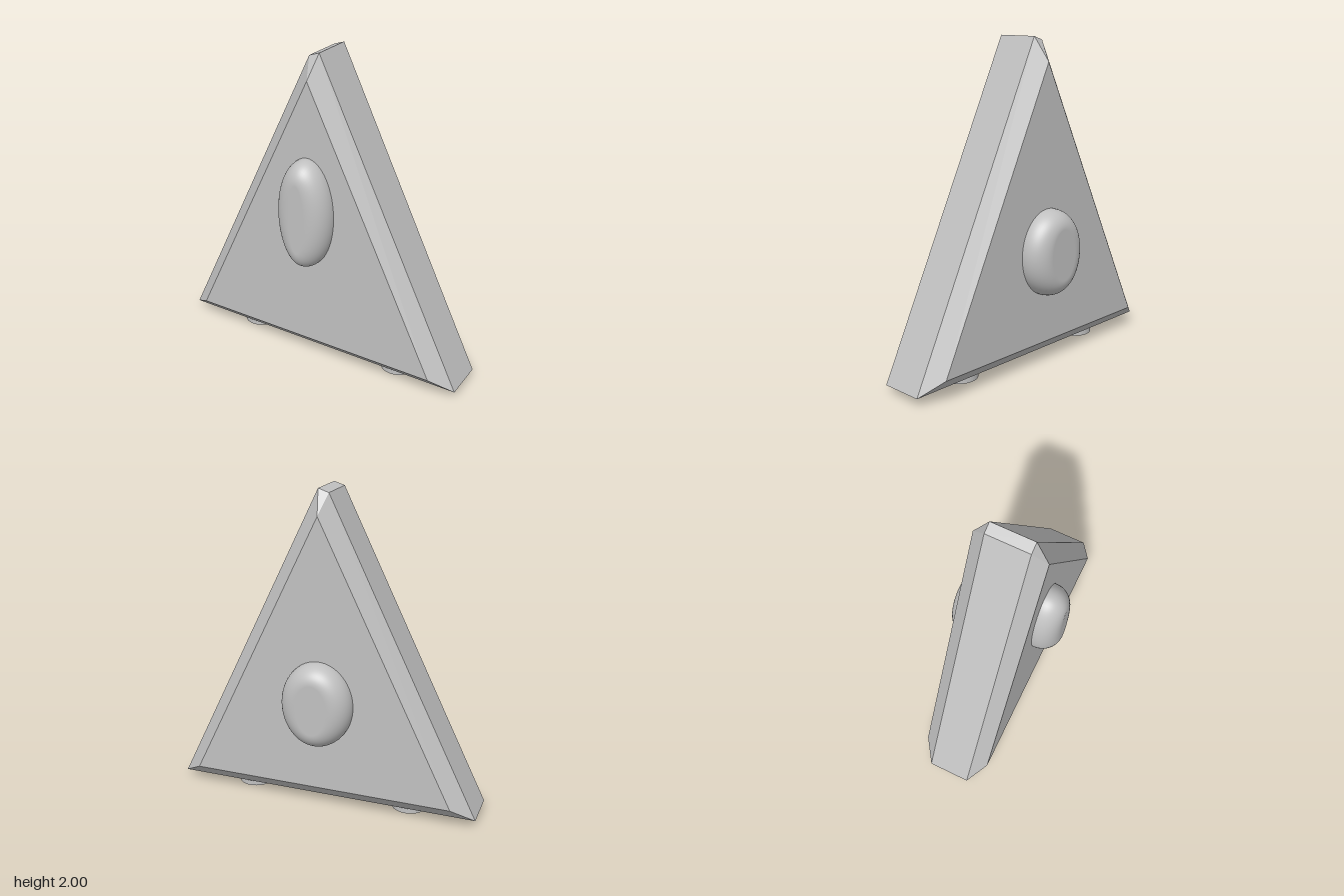
import * as THREE from 'three';
import { ConvexGeometry } from 'three/addons/geometries/ConvexGeometry.js';
import { ParametricGeometry } from 'three/addons/geometries/ParametricGeometry.js';

const grey = new THREE.MeshStandardMaterial({ name: 'grey', color: 0xc0c0c0 });

function part(name, geometry, x = 0, y = 0, z = 0) {
  const mesh = new THREE.Mesh(geometry, grey);
  mesh.name = name;
  mesh.position.set(x, y, z);
  return mesh;
}

// Oval button facing +z: straight wall, rounded rim, flat oval cap
function button(name, rx, ry, insetX, insetY, base, top) {
  const group = new THREE.Group();
  group.name = name;
  const rise = 0.125;
  const rim = (u, v, target) => {
    const a = u * Math.PI * 2, t = v * Math.PI / 2, k = 1 - Math.cos(t);
    target.set(
      (rx - insetX * k) * Math.cos(a),
      (ry - insetY * k) * Math.sin(a),
      top - rise + rise * Math.sin(t));
  };
  const wall = (u, v, target) => {
    const a = u * Math.PI * 2;
    target.set(rx * Math.cos(a), ry * Math.sin(a), base + (top - rise - base) * v);
  };
  const cap = new THREE.CircleGeometry(1, 64).scale(rx - insetX, ry - insetY, 1);
  group.add(
    part(name + 'Wall', new ParametricGeometry(wall, 64, 1)),
    part(name + 'Rim', new ParametricGeometry(rim, 64, 14)),
    part(name + 'Cap', cap, 0, 0, top));
  return group;
}

export function createModel() {
  const model = new THREE.Group();
  model.name = 'triangularUnit';

  // Bevelled triangular body with a small slanted tip
  const outline = [[-0.98, 0.05], [0.98, 0.05], [0.028, 2], [-0.038, 1.978]];
  const face = [[-0.84, 0.138], [0.84, 0.138], [0, 1.855]];
  const points = [];
  for (const side of [-1, 1]) {
    for (const [x, y] of outline) points.push(new THREE.Vector3(x, y, side * 0.135));
    for (const [x, y] of face) points.push(new THREE.Vector3(x, y, side * 0.224));
  }
  model.add(part('body', new ConvexGeometry(points)));

  // Tall oval on the front, wider oval lower on the back
  const front = button('frontButton', 0.18, 0.35, 0.128, 0.128, 0.21, 0.36);
  front.position.y = 1.04;
  const back = button('backButton', 0.224, 0.268, 0.125, 0.11, 0.21, 0.36);
  back.position.y = 0.712;
  back.rotation.y = Math.PI;
  model.add(front, back);

  // Round feet
  for (const [name, x] of [['leftFoot', 0.53], ['rightFoot', -0.53]]) {
    model.add(part(name, new THREE.CylinderGeometry(0.111, 0.111, 0.06, 48), x, 0.03, 0.003));
  }
  return model;
}
